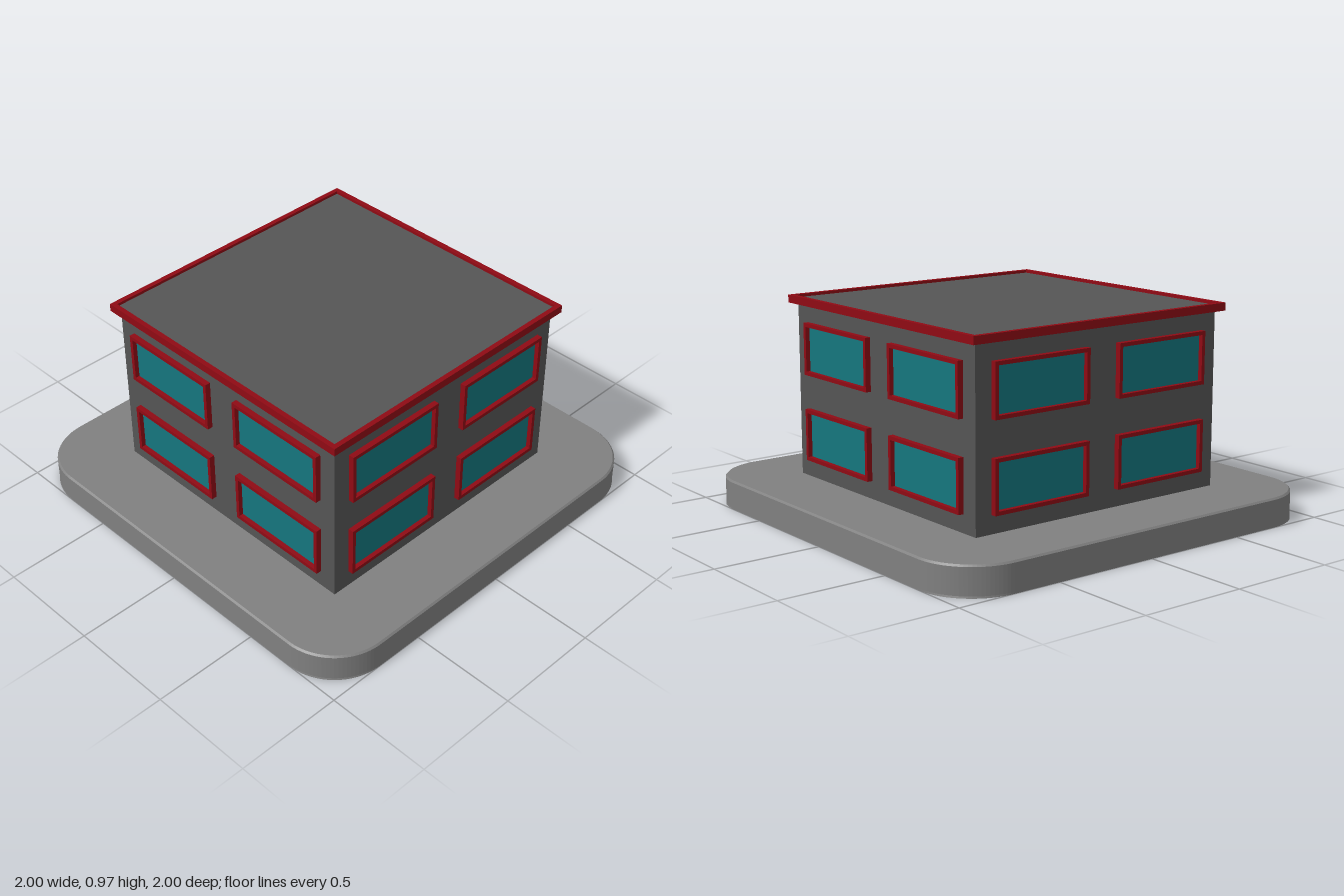
import * as THREE from 'three';

const mat = (color) => new THREE.MeshStandardMaterial({ color });

function add(parent, name, geometry, material, x = 0, y = 0, z = 0) {
  const mesh = new THREE.Mesh(geometry, material);
  mesh.name = name;
  mesh.position.set(x, y, z);
  parent.add(mesh);
  return mesh;
}

function rectangle(w, h, Type = THREE.Shape) {
  return new Type([[-1, -1], [1, -1], [1, 1], [-1, 1]]
    .map(([x, y]) => new THREE.Vector2(x * w / 2, y * h / 2)));
}

// Rectangular border of the given bar width, extruded along +z
function borderGeometry(w, h, bar, depth) {
  const shape = rectangle(w, h);
  shape.holes.push(rectangle(w - 2 * bar, h - 2 * bar, THREE.Path));
  return new THREE.ExtrudeGeometry(shape, { depth, bevelEnabled: false });
}

// Rounded square slab with a small chamfer on its top edge only
function baseGeometry(half, radius, height, bevel) {
  const c = half - radius, r = radius - bevel;
  const shape = new THREE.Shape();
  [[1, 1], [-1, 1], [-1, -1], [1, -1]].forEach(([sx, sy], i) => {
    shape.absarc(sx * c, sy * c, r, i * Math.PI / 2, (i + 1) * Math.PI / 2, false);
  });
  const geo = new THREE.ExtrudeGeometry(shape, {
    depth: height - 2 * bevel, bevelEnabled: true, bevelSegments: 1,
    bevelSize: bevel, bevelThickness: bevel, curveSegments: 12,
  });
  geo.rotateX(-Math.PI / 2).translate(0, bevel, 0);
  // Widen the lowest ring so the sides run straight down
  const p = geo.attributes.position, k = half / (half - bevel);
  for (let i = 0; i < p.count; i++) {
    if (p.getY(i) < bevel / 2) p.setXYZ(i, p.getX(i) * k, 0, p.getZ(i) * k);
  }
  geo.computeVertexNormals();
  return geo;
}

export function createModel() {
  const group = new THREE.Group();
  group.name = 'building';

  const stone = mat(0x808080);
  const wall = mat(0x555555);
  const red = mat(0x8f0a14);
  const glass = mat(0x15767e);

  const baseTop = 0.135, wallHalf = 0.667;
  const trimBottom = 0.937, trimTop = 0.973, roofY = 0.96;

  // Ground slab and main block
  add(group, 'base', baseGeometry(1, 0.27, baseTop, 0.008), stone);
  add(group, 'walls',
    new THREE.BoxGeometry(2 * wallHalf, trimBottom + 0.01 - baseTop, 2 * wallHalf),
    wall, 0, (trimBottom + 0.01 + baseTop) / 2, 0);

  // Flat roof set inside an overhanging trim
  add(group, 'roofTrim', borderGeometry(1.4, 1.4, 0.023, trimTop - trimBottom), red, 0, trimBottom, 0)
    .rotation.x = -Math.PI / 2;
  add(group, 'roof', new THREE.BoxGeometry(1.354, roofY - trimBottom - 0.004, 1.354),
    wall, 0, (roofY + trimBottom + 0.004) / 2, 0);
  add(group, 'eaveUnderside', new THREE.BoxGeometry(1.354, 0.004, 1.354),
    red, 0, trimBottom + 0.002, 0);

  // Four framed windows on each of the four sides
  const w = 0.503, h = 0.24, bar = 0.017;
  const frameGeo = borderGeometry(w, h, bar, 0.028);
  const glassGeo = new THREE.BoxGeometry(w - 2 * bar, h - 2 * bar, 0.01);
  for (let side = 0; side < 4; side++) {
    const facade = new THREE.Group();
    facade.name = 'windows' + ['Front', 'Left', 'Back', 'Right'][side];
    facade.rotation.y = side * Math.PI / 2;
    for (const x of [-0.334, 0.334]) {
      for (const y of [0.337, 0.737]) {
        add(facade, 'windowFrame', frameGeo, red, x, y, wallHalf - 0.002);
        add(facade, 'windowPane', glassGeo, glass, x, y, wallHalf);
      }
    }
    group.add(facade);
  }
  return group;
}
